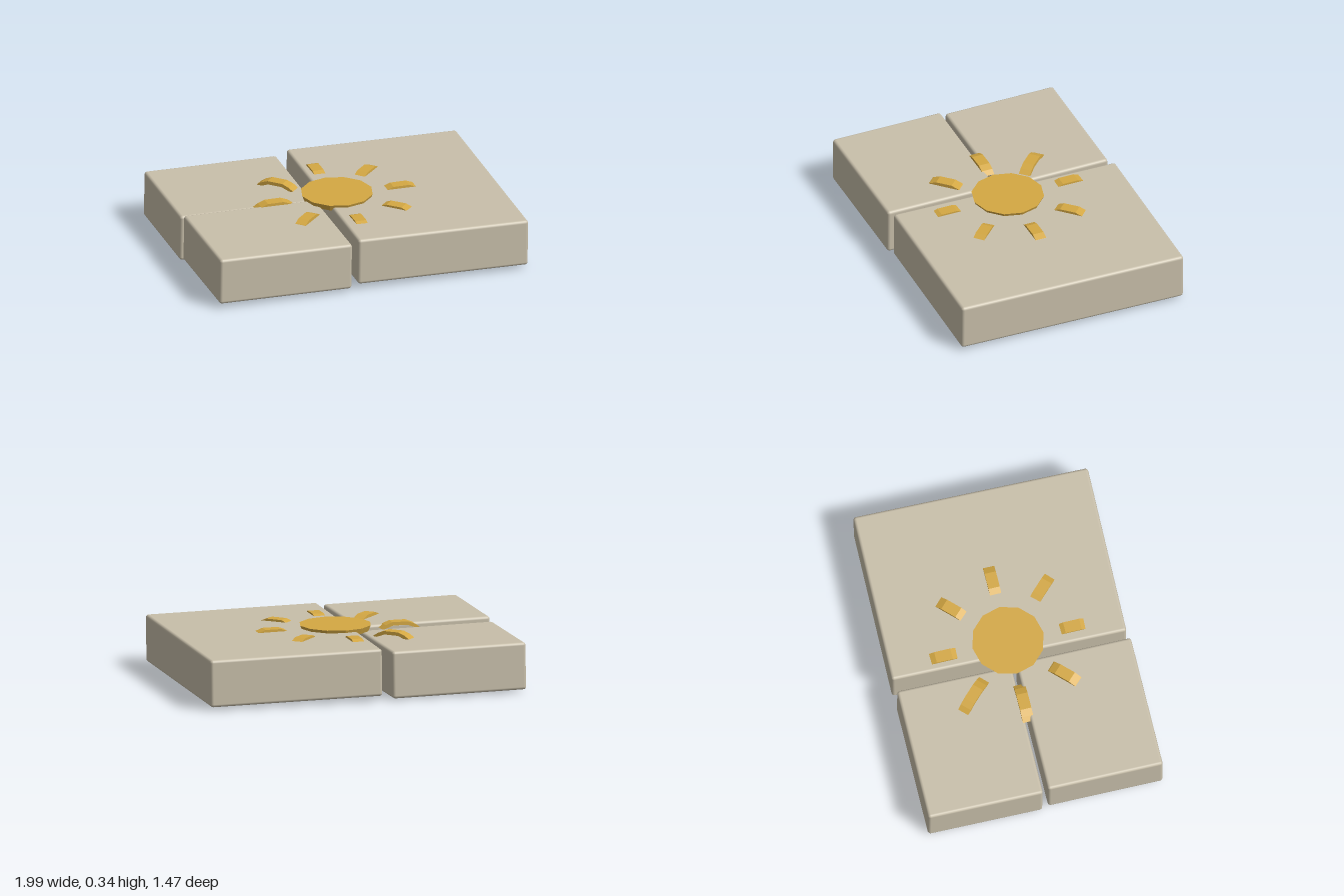
import * as THREE from 'three';
import { RoundedBoxGeometry } from 'three/addons/geometries/RoundedBoxGeometry.js';

export function createModel() {
  const model = new THREE.Group();
  const stone = new THREE.MeshStandardMaterial({ color: 0xc8bfaa });
  stone.name = 'stone';
  const gold = new THREE.MeshStandardMaterial({ color: 0xd4a843, flatShading: true });
  gold.name = 'gold';

  // Stone slabs, each set slightly crooked
  function slab(name, [w, d], [x, y, z], [rx, ry, rz]) {
    const mesh = new THREE.Mesh(new RoundedBoxGeometry(w, 0.29, d, 2, 0.018), stone);
    mesh.name = name;
    mesh.position.set(x, y, z);
    mesh.rotation.set(rx, ry, rz);
    model.add(mesh);
  }
  slab('largeSlab', [1.076, 1.45], [0.442, 0.177, -0.002], [-0.003, -0.021, -0.012]);
  slab('backSlab', [0.84, 0.71], [-0.572, 0.159, -0.376], [0.01, -0.01, -0.012]);
  slab('frontSlab', [0.84, 0.712], [-0.572, 0.177, 0.367], [0.003, -0.007, -0.014]);

  // Sun emblem: faceted disc with eight arched rays sunk into the slabs
  const sun = new THREE.Group();
  sun.name = 'sunEmblem';
  sun.position.x = -0.007;
  model.add(sun);

  const disc = new THREE.Mesh(new THREE.CylinderGeometry(0.22, 0.205, 0.037, 12), gold);
  disc.name = 'sunDisc';
  disc.position.y = 0.325;
  disc.rotation.y = Math.PI / 2;
  sun.add(disc);

  // Curved strip cross-section: an upper arc and a lower one
  const upper = [[-0.122, 0.302], [-0.092, 0.322], [-0.05, 0.338], [0.05, 0.338], [0.092, 0.322], [0.122, 0.302]];
  const lower = [[0.105, 0.295], [0.045, 0.317], [-0.045, 0.317], [-0.105, 0.295]];
  const profile = new THREE.Shape([...upper, ...lower].map(([x, y]) => new THREE.Vector2(x, y)));
  const rayGeometry = new THREE.ExtrudeGeometry(profile, { depth: 0.07, bevelEnabled: false });
  rayGeometry.translate(0.4, 0, -0.035);
  for (let i = 0; i < 8; i++) {
    const ray = new THREE.Mesh(rayGeometry, gold);
    ray.name = `sunRay${i + 1}`;
    ray.rotation.y = (i * Math.PI) / 4;
    sun.add(ray);
  }
  return model;
}
